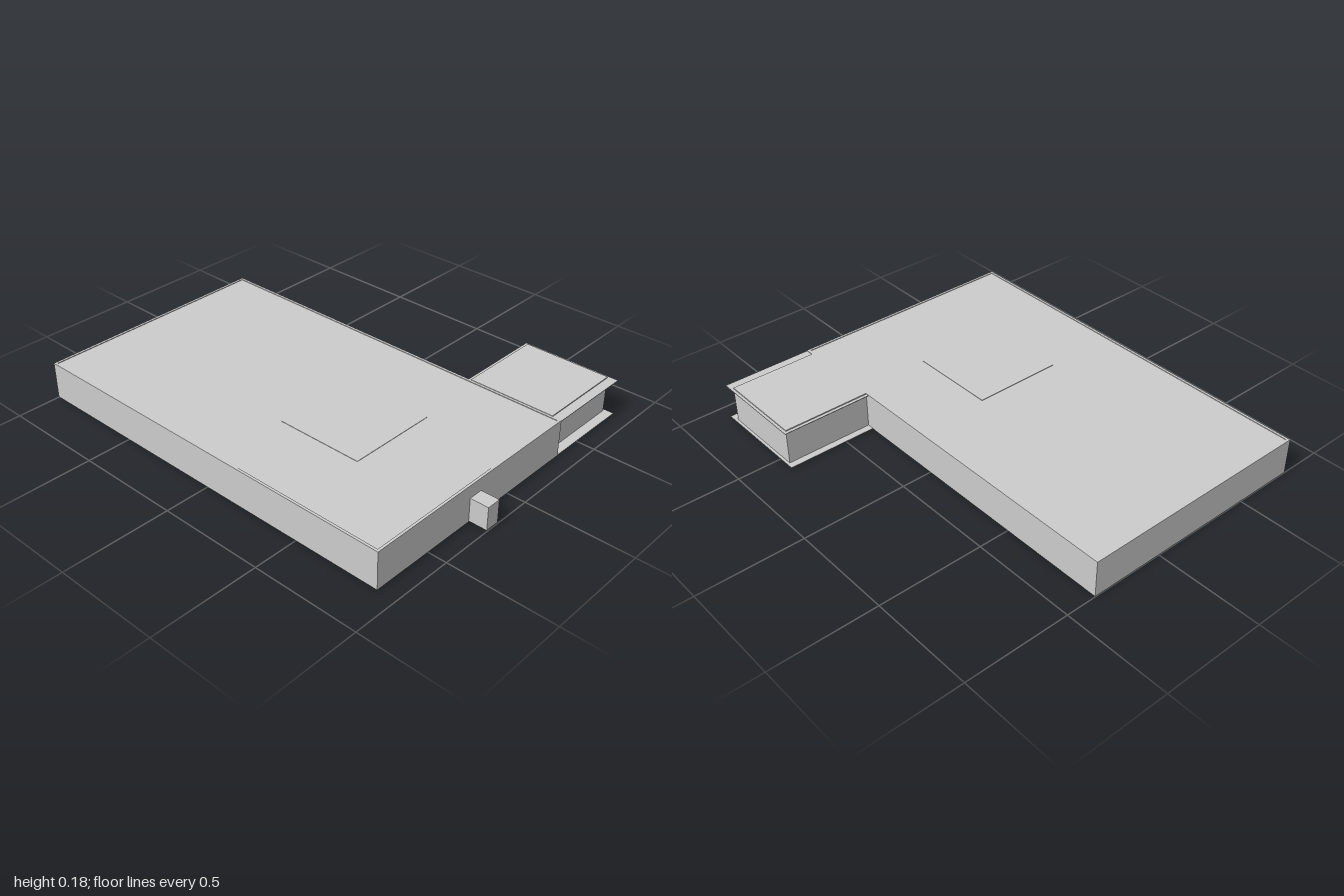
import * as THREE from 'three';

export function createModel() {
  const model = new THREE.Group();
  const material = new THREE.MeshStandardMaterial({ color: 0xcccccc, flatShading: true });

  // Box given by its extents along x, y and z
  function block(name, [x0, x1], [y0, y1], [z0, z1]) {
    const mesh = new THREE.Mesh(new THREE.BoxGeometry(x1 - x0, y1 - y0, z1 - z0), material);
    mesh.position.set((x0 + x1) / 2, (y0 + y1) / 2, (z0 + z1) / 2);
    mesh.name = name;
    model.add(mesh);
  }

  // Outer walls: a rectangular ring standing on the ground
  const [left, right, back, front] = [-0.79, 0.355, -1, 0.913];
  const wall = 0.012;
  const ring = new THREE.Shape([
    new THREE.Vector2(left, -front), new THREE.Vector2(right, -front),
    new THREE.Vector2(right, -back), new THREE.Vector2(left, -back),
  ]);
  ring.holes.push(new THREE.Path([
    new THREE.Vector2(left + wall, -front + wall), new THREE.Vector2(left + wall, -back - wall),
    new THREE.Vector2(right - wall, -back - wall), new THREE.Vector2(right - wall, -front + wall),
  ]));
  const wallGeometry = new THREE.ExtrudeGeometry(ring, { depth: 0.176, bevelEnabled: false });
  wallGeometry.rotateX(-Math.PI / 2);
  const walls = new THREE.Mesh(wallGeometry, material);
  walls.name = 'outerWalls';
  walls.position.y = 0.002;
  model.add(walls);

  // Roof and floor slabs, set just inside the walls
  const innerX = [left + wall, right - wall];
  const innerZ = [back + wall, front - wall];
  block('roof', innerX, [0.165, 0.175], innerZ);
  block('floor', innerX, [0.002, 0.012], innerZ);

  // Square hatch panels in the roof and the floor
  block('roofHatch', [-0.43, 0], [0.166, 0.177], [0.07, 0.49]);
  block('floorHatch', [-0.43, 0], [0, 0.011], [0.07, 0.49]);

  // Side annex between its overhanging top and bottom plates
  block('annex', [0.355, 0.777], [0.0005, 0.18], [0.445, 0.868]);
  block('annexTopPlate', [0.355, 0.79], [0.172, 0.175], [0.43, 0.913]);
  block('annexBottomPlate', [0.355, 0.79], [0.002, 0.005], [0.412, 0.913]);

  // Small post on the front wall
  block('frontPost', [-0.253, -0.184], [0.006, 0.116], [front, 1]);

  return model;
}
